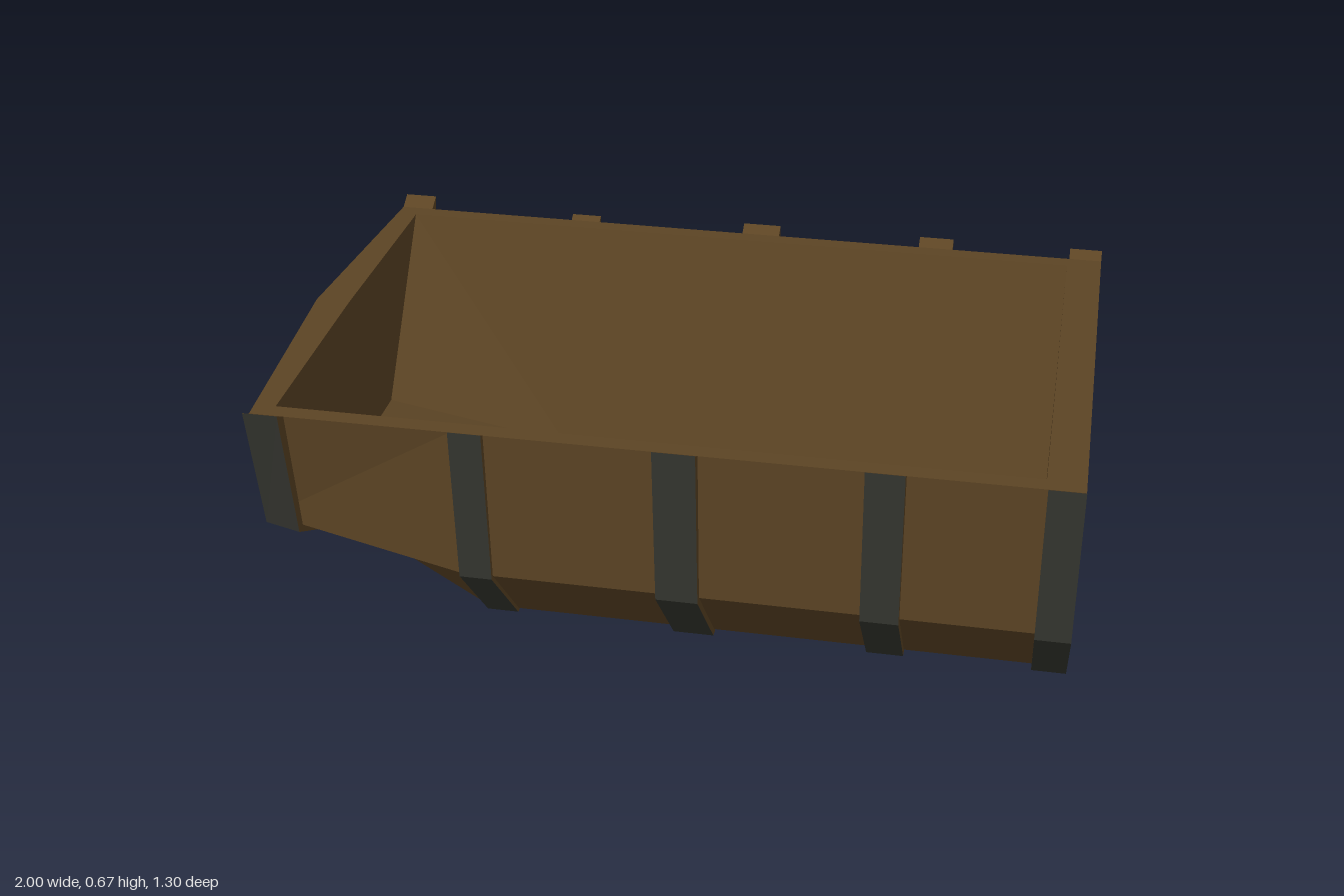
import * as THREE from 'three';

const wood = new THREE.MeshStandardMaterial({ color: 0x5c4424 });
wood.name = 'brown wood';
const iron = new THREE.MeshStandardMaterial({ color: 0x34352f });
iron.name = 'dark iron';

// Collects convex polygons on the +z half and mirrors them to the -z half
class HalfBuilder {
  constructor() { this.positions = []; }
  fan(...pts) {
    for (let i = 1; i < pts.length - 1; i++) {
      const [a, b, c] = [pts[0], pts[i], pts[i + 1]];
      this.positions.push(...a, ...b, ...c);
      for (const [x, y, z] of [a, c, b]) this.positions.push(x, y, -z);
    }
  }
  // Faces between two profiles, the first at the smaller x
  loft(a, b, from = 0, to = a.length - 1) {
    for (let j = from; j < to; j++) this.fan(a[j], b[j], b[j + 1], a[j + 1]);
  }
  mesh(name, material) {
    const g = new THREE.BufferGeometry();
    g.setAttribute('position', new THREE.Float32BufferAttribute(this.positions, 3));
    g.computeVertexNormals();
    const m = new THREE.Mesh(g, material);
    m.name = name;
    return m;
  }
}

// Half sections: keel, floor edge, chine, rim, inner rim, inner floor edge, inner keel
const bow = [[-0.957, 0.19, 0], [-0.955, 0.19, 0.24], [-0.955, 0.335, 0.555], [-0.955, 0.65, 0.61],
  [-0.905, 0.65, 0.565], [-0.905, 0.23, 0.24], [-0.905, 0.23, 0]];
const section = (xOut, xIn) => [[xOut, 0.013, 0], [xOut, 0.013, 0.38], [xOut, 0.247, 0.59], [xOut, 0.65, 0.61],
  [xIn, 0.65, 0.565], [xIn, 0.06, 0.387], [xIn, 0.06, 0]];
const middle = section(-0.465, -0.45);
const stern = section(1, 0.91);

function makeHull() {
  const h = new HalfBuilder();
  h.loft(bow, middle);
  h.loft(middle, stern);

  // Pointed bow: outside, rim and inside
  const tip = [-1, 0.65, 0], bowInner = [-0.912, 0.65, 0];
  h.fan(tip, bow[0], bow[1], bow[2], bow[3]);
  h.fan(tip, bow[3], bow[4], bowInner);
  h.fan(bowInner, bow[4], bow[5], bow[6]);

  // Flat stern: outside, rim and inside
  const sternOuter = [1, 0.65, 0], sternInner = [0.91, 0.65, 0];
  h.fan(stern[0], sternOuter, stern[3], stern[2], stern[1]);
  h.fan(sternInner, stern[4], stern[3], sternOuter);
  h.fan(sternInner, stern[6], stern[5], stern[4]);
  return h.mesh('hull', wood);
}

// Outer hull profile (keel to rim) at a given x
function hullProfile(x) {
  const [a, b] = x < middle[0][0] ? [bow, middle] : [middle, stern];
  const t = (x - a[1][0]) / (b[1][0] - a[1][0]);
  return [0, 1, 2, 3].map((j) => [x, a[j][1] + (b[j][1] - a[j][1]) * t, a[j][2] + (b[j][2] - a[j][2]) * t]);
}

// A band running round the hull, with iron outer faces and wooden edges
function makeStrap(x0, x1, grow) {
  const offsets = [[-0.013, 0], [-0.013, 0.01], [-0.004, 0.02], [0.017, 0.03]];
  const hull = [hullProfile(x0), hullProfile(x1)];
  const outer = hull.map((p) => p.map(([x, y, z], j) => [x, y + offsets[j][0] * grow, z + offsets[j][1] * grow]));

  const band = new HalfBuilder();
  band.loft(outer[0], outer[1]);

  const edges = new HalfBuilder();
  for (let j = 0; j < 3; j++) {
    edges.fan(hull[0][j], outer[0][j], outer[0][j + 1], hull[0][j + 1]);
    edges.fan(hull[1][j + 1], outer[1][j + 1], outer[1][j], hull[1][j]);
  }
  edges.fan(outer[0][3], outer[1][3], hull[1][3], hull[0][3]);

  const g = new THREE.Group();
  g.name = 'strap';
  g.add(band.mesh('strapBand', iron), edges.mesh('strapEdges', wood));
  return g;
}

export function createModel() {
  const model = new THREE.Group();
  model.name = 'woodenTub';
  model.add(makeHull());
  const straps = [[-0.955, -0.87, 1.3], [-0.465, -0.385, 0.6], [0.02, 0.122, 1], [0.508, 0.6, 1], [0.915, 1, 1]];
  for (const s of straps) model.add(makeStrap(...s));
  return model;
}
